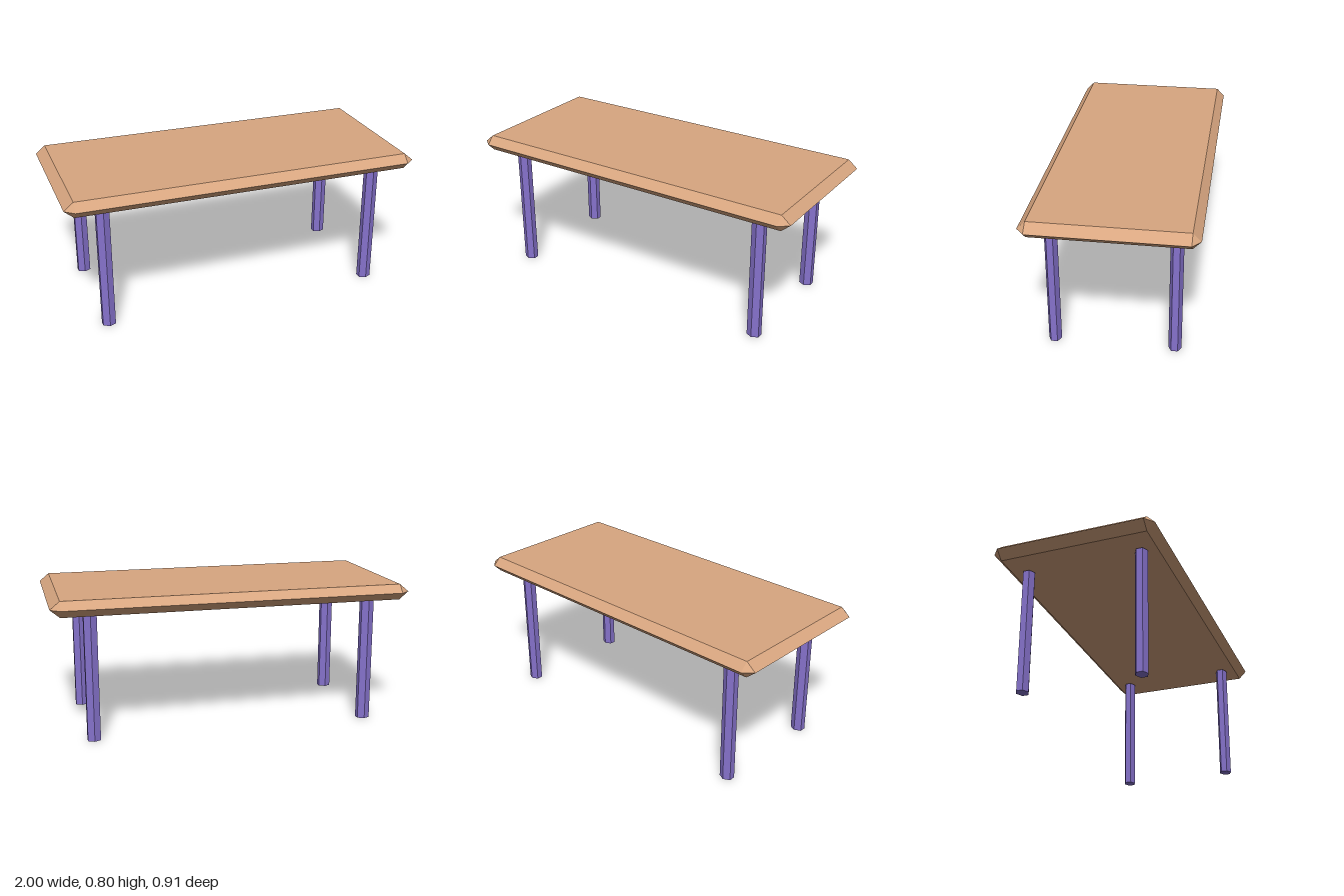
import * as THREE from 'three';
import { ConvexGeometry } from 'three/addons/geometries/ConvexGeometry.js';

const wood = new THREE.MeshStandardMaterial({ color: 0xd8a680, flatShading: true });
wood.name = 'tan wood';
const paint = new THREE.MeshStandardMaterial({ color: 0x8672cc, flatShading: true });
paint.name = 'purple paint';

// Slab with edges chamfered to a sharp ridge at mid height, and cut corners
function tabletopGeometry() {
  const [x, z, ridgeX, ridgeZ] = [0.947, 0.41, 1, 0.454];
  const [bottom, middle, top] = [0.713, 0.757, 0.801];
  const points = [];
  for (const sx of [-1, 1]) {
    for (const sz of [-1, 1]) {
      points.push(
        new THREE.Vector3(sx * x, top, sz * z),
        new THREE.Vector3(sx * x, bottom, sz * z),
        new THREE.Vector3(sx * ridgeX, middle, sz * z),
        new THREE.Vector3(sx * x, middle, sz * ridgeZ)
      );
    }
  }
  return new ConvexGeometry(points);
}

export function createModel() {
  const table = new THREE.Group();
  table.name = 'table';

  const tabletop = new THREE.Mesh(tabletopGeometry(), wood);
  tabletop.name = 'tabletop';
  table.add(tabletop);

  // Six-sided legs, slightly widened along x, ending just below the top
  const height = 0.706;
  const legGeometry = new THREE.CylinderGeometry(0.035, 0.035, height, 6);
  legGeometry.scale(1.17, 1, 1);
  for (const sx of [-1, 1]) {
    for (const sz of [-1, 1]) {
      const leg = new THREE.Mesh(legGeometry, paint);
      leg.name = (sz > 0 ? 'front' : 'back') + (sx > 0 ? 'Left' : 'Right') + 'Leg';
      leg.position.set(sx * 0.787, height / 2, sz * 0.324);
      table.add(leg);
    }
  }
  return table;
}
